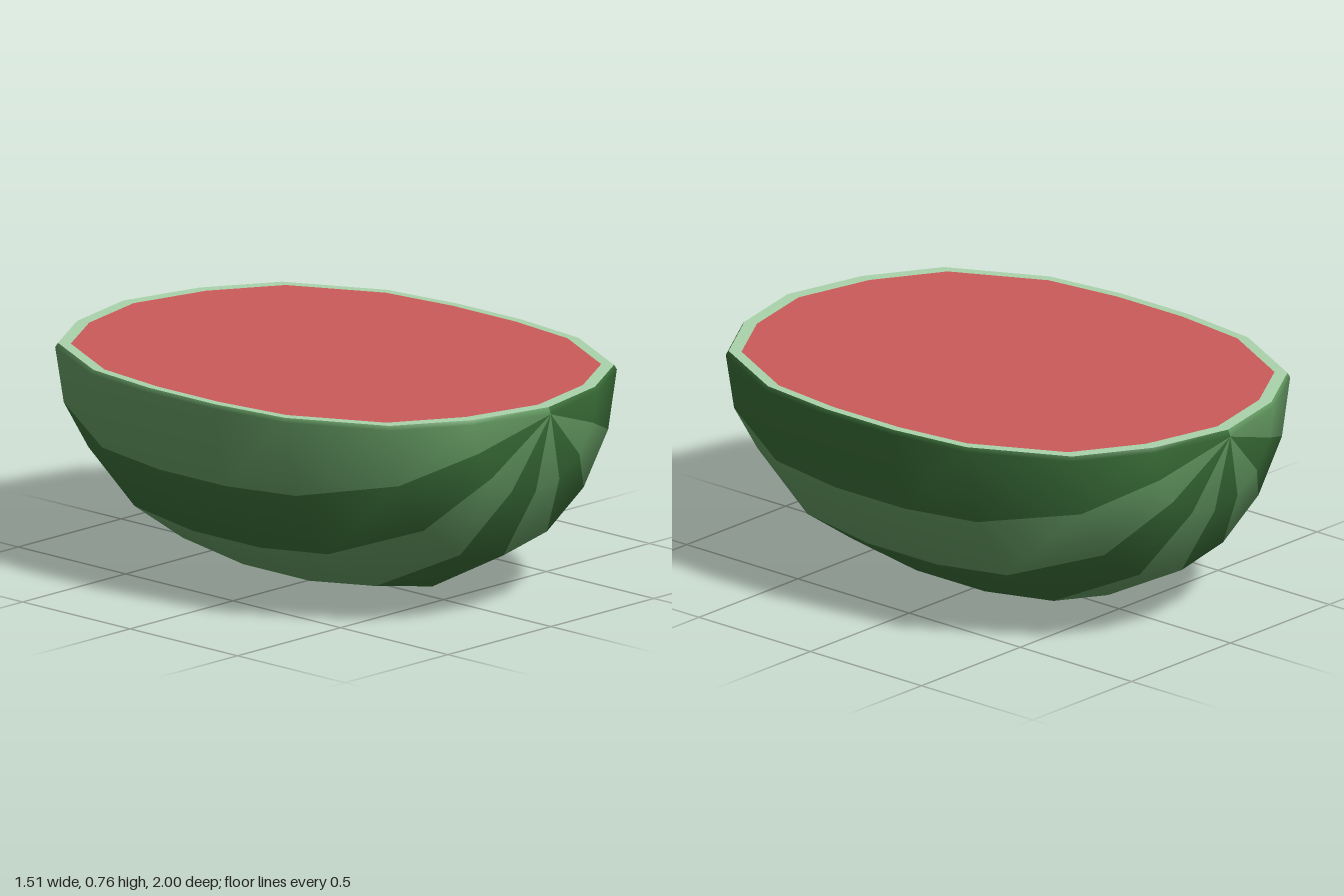
import * as THREE from 'three';
import { mergeVertices } from 'three/addons/utils/BufferGeometryUtils.js';

// Cross-section rings along the length: [z, skin radius]
const half = [[1, 0], [0.93, 0.3], [0.78, 0.55], [0.45, 0.72], [0.155, 0.757]];
const rings = [...half, ...half.slice().reverse().map(([z, r]) => [-z, r])];
const SEGMENTS = 8, AXIS = 0.76, TOP = 0.765, EDGE = 0.75, BEVEL = 0.99;

// Outline of the cut face, made from half-widths and z positions
function outline(points) {
  const right = points.map(([z, r]) => new THREE.Vector2(r, z));
  const left = points.slice(1, -1).reverse().map(([z, r]) => new THREE.Vector2(-r, z));
  return [...right, ...left];
}

// One ring of skin: bevelled lip, eight steps under the belly, bevelled lip
function ringPoints([z, r]) {
  const lip = (side) => [side * r * BEVEL, TOP, z * BEVEL];
  const points = [lip(1)];
  for (let k = 0; k <= SEGMENTS; k++) {
    const a = (k / SEGMENTS) * Math.PI;
    const atEdge = k === 0 || k === SEGMENTS;
    const y = r === 0 ? 0.742 : atEdge ? EDGE : AXIS - r * Math.sin(a);
    points.push([r * Math.cos(a), y, z]);
  }
  points.push(lip(-1));
  return points;
}

// Skin, split into dark and light stripes that share smooth normals
function skinStripes() {
  const columns = SEGMENTS + 3;
  const index = [[], []];
  for (let i = 0; i < rings.length - 1; i++) {
    for (let j = 0; j < columns - 1; j++) {
      const stripe = Math.min(Math.max(j - 1, 0), SEGMENTS - 1) % 2;
      const a = i * columns + j, b = a + 1, c = a + columns, d = c + 1;
      index[stripe].push(a, b, c, b, d, c);
    }
  }
  let skin = new THREE.BufferGeometry();
  skin.setAttribute('position', new THREE.Float32BufferAttribute(rings.flatMap(ringPoints).flat(), 3));
  skin.setIndex([...index[0], ...index[1]]);
  skin = mergeVertices(skin, 1e-4);
  skin.computeVertexNormals();

  const all = Array.from(skin.index.array);
  const split = index[0].length;
  return [all.slice(0, split), all.slice(split)].map((part) => {
    const g = skin.clone();
    g.setIndex(part);
    return g;
  });
}

export function createModel() {
  const model = new THREE.Group();
  model.name = 'halfWatermelon';

  const add = (name, geometry, color) => {
    const mesh = new THREE.Mesh(geometry, new THREE.MeshStandardMaterial({ color }));
    mesh.name = name;
    model.add(mesh);
    return mesh;
  };

  // Striped skin
  const [dark, light] = skinStripes();
  add('darkStripes', dark, 0x3a6e38);
  add('lightStripes', light, 0x649a62);

  // Cut face: pale rind around the red flesh
  const rindEdge = outline(rings.map(([z, r]) => [z * BEVEL, r * BEVEL]));
  const fleshEdge = outline(rings.map(([z, r]) => [z * 0.942, r * 0.948]));
  const rindShape = new THREE.Shape(rindEdge);
  rindShape.holes.push(new THREE.Path(fleshEdge));
  const flat = (shape) => new THREE.ShapeGeometry(shape).rotateX(-Math.PI / 2).translate(0, TOP, 0);
  add('rind', flat(rindShape), 0xa9d3aa);
  add('flesh', flat(new THREE.Shape(fleshEdge)), 0xcc5a5a);

  return model;
}
